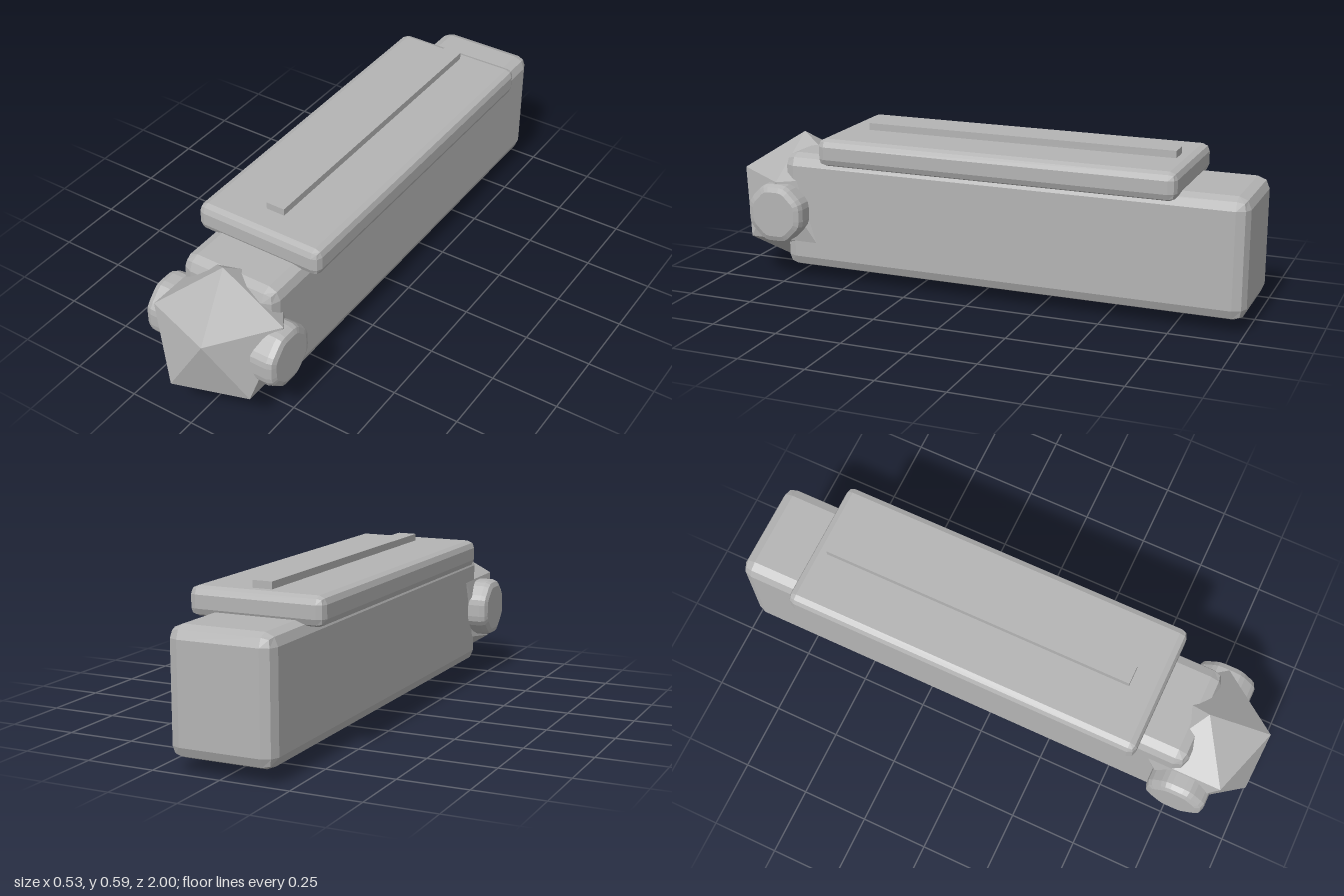
import * as THREE from 'three';
import { RoundedBoxGeometry } from 'three/addons/geometries/RoundedBoxGeometry.js';
import { ConvexGeometry } from 'three/addons/geometries/ConvexGeometry.js';

// Flat-faced box with two-step bevelled edges, given by its limits
function bevelledBox(halfWidth, y0, y1, z0, z1, radius) {
  const geometry = new RoundedBoxGeometry(halfWidth * 2, y1 - y0, z1 - z0, 1, radius);
  geometry.computeVertexNormals();
  geometry.translate(0, (y0 + y1) / 2, (z0 + z1) / 2);
  return geometry;
}

// Icosahedron standing on one vertex
function headGeometry(radius) {
  const points = [new THREE.Vector3(0, radius, 0), new THREE.Vector3(0, -radius, 0)];
  const h = radius / Math.sqrt(5);
  for (let i = 0; i < 5; i++) {
    const a = (i * 2 * Math.PI) / 5;
    const x = 2 * h * Math.cos(a), z = 2 * h * Math.sin(a);
    points.push(new THREE.Vector3(x, h, z), new THREE.Vector3(-x, -h, -z));
  }
  return new ConvexGeometry(points);
}

// Octagonal disc with softened corners and bevelled rims, axis along x
function discGeometry(apothem, thickness, bevel) {
  const R = apothem / Math.cos(Math.PI / 8);
  const corner = (i) => {
    const a = (i + 0.5) * Math.PI / 4;
    return new THREE.Vector2(R * Math.cos(a), R * Math.sin(a));
  };
  const outline = [];
  for (let i = 0; i < 8; i++) {
    const c = corner(i);
    const before = c.clone().lerp(corner(i - 1), 0.25);
    const after = c.clone().lerp(corner(i + 1), 0.25);
    const middle = before.clone().add(after).multiplyScalar(0.25).addScaledVector(c, 0.5);
    outline.push(before, middle, after);
  }
  const geometry = new THREE.ExtrudeGeometry(new THREE.Shape(outline), {
    depth: thickness - 2 * bevel, steps: 1, bevelEnabled: true,
    bevelThickness: bevel, bevelSize: bevel, bevelOffset: -bevel, bevelSegments: 2,
  });
  geometry.center();
  geometry.rotateY(Math.PI / 2);
  return geometry;
}

export function createModel() {
  const model = new THREE.Group();
  const grey = new THREE.MeshStandardMaterial({ color: 0xb4b4b4 });
  grey.name = 'plainGrey';

  const add = (name, geometry, x = 0, y = 0, z = 0) => {
    const mesh = new THREE.Mesh(geometry, grey);
    mesh.name = name;
    mesh.position.set(x, y, z);
    model.add(mesh);
  };

  // Long body with the cover and its raised rib
  add('body', bevelledBox(0.192, 0.047, 0.488, -1, 0.77, 0.044));
  add('topCover', bevelledBox(0.25, 0.467, 0.57, -0.762, 0.593, 0.028));
  add('topRib', new THREE.BoxGeometry(0.072, 0.05, 1.185), 0, 0.571, -0.113);

  // Faceted head between two side discs
  add('head', headGeometry(0.265), 0, 0.268, 0.775);
  const disc = discGeometry(0.111, 0.13, 0.026);
  add('leftDisc', disc, 0.202, 0.268, 0.775);
  add('rightDisc', disc, -0.202, 0.268, 0.775);

  return model;
}
